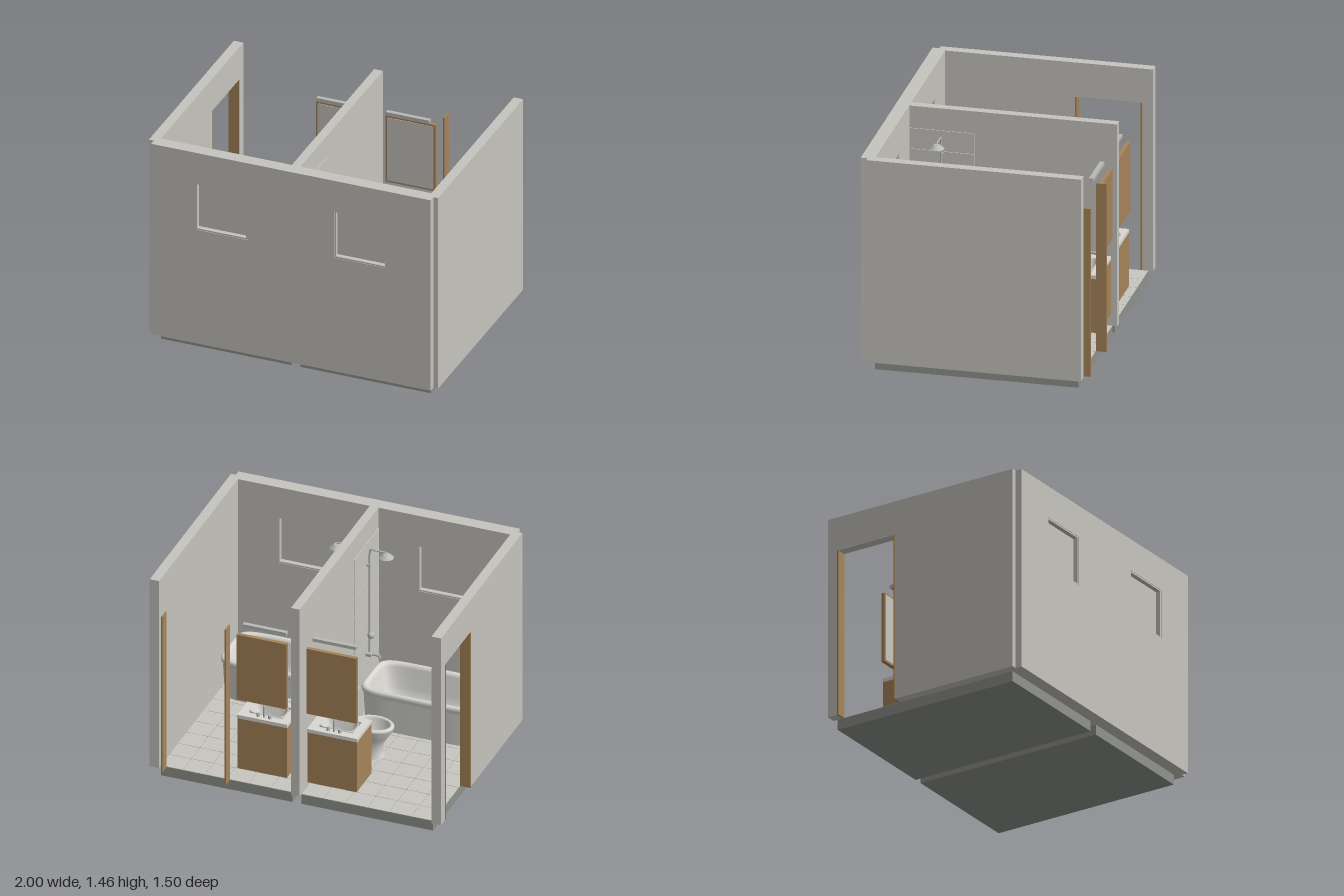
import * as THREE from 'three';

const mat = (name, color, side = THREE.FrontSide) => {
  const m = new THREE.MeshStandardMaterial({ color, side });
  m.name = name;
  return m;
};

export function createModel() {
  const wall = mat('wall plaster', 0xc6c4be);
  const slab = mat('concrete', 0x8f928c);
  const wood = mat('wood', 0xa6845a);
  const ceramic = mat('ceramic', 0xd9d8d3, THREE.DoubleSide);
  const metal = mat('metal', 0xb9b9b5);
  const tile = mat('tile', 0xc8c6c0);

  const root = new THREE.Group();
  root.name = 'twinBathrooms';
  const add = (name, geometry, material, parent = root) => {
    const m = new THREE.Mesh(geometry, material);
    m.name = name;
    parent.add(m);
    return m;
  };

  // Box between two corners
  const box = (name, material, x0, x1, y0, y1, z0, z1, parent = root) => {
    const m = add(name, new THREE.BoxGeometry(Math.abs(x1 - x0), y1 - y0, z1 - z0), material, parent);
    m.position.set((x0 + x1) / 2, (y0 + y1) / 2, (z0 + z1) / 2);
    return m;
  };

  const rod = (name, points, radius, parent, tension = 0) => {
    const curve = new THREE.CatmullRomCurve3(points.map(p => new THREE.Vector3(...p)), false, 'catmullrom', tension);
    return add(name, new THREE.TubeGeometry(curve, 24, radius, 10), metal, parent);
  };

  const disc = (name, material, r0, r1, h, x, y, z, parent) => {
    const m = add(name, new THREE.CylinderGeometry(r0, r1, h, 24), material, parent);
    m.position.set(x, y, z);
    return m;
  };

  // Skin through stacked superellipse rings: [x, y, z, rx, rz, n]
  const loft = (rings, seg = 56) => {
    const pos = [], idx = [];
    const pw = (v, n) => Math.sign(v) * Math.pow(Math.abs(v), 2 / n);
    rings.forEach(([x, y, z, rx, rz, n], i) => {
      for (let j = 0; j < seg; j++) {
        const t = (j / seg) * Math.PI * 2;
        pos.push(x + rx * pw(Math.cos(t), n), y, z + rz * pw(Math.sin(t), n));
        if (i < rings.length - 1) {
          const k = (j + 1) % seg;
          const a = i * seg + j, b = a + seg, c = (i + 1) * seg + k, d = i * seg + k;
          idx.push(a, b, c, a, c, d);
        }
      }
    });
    const g = new THREE.BufferGeometry();
    g.setAttribute('position', new THREE.Float32BufferAttribute(pos, 3));
    g.setIndex(idx);
    g.computeVertexNormals();
    return g;
  };

  const rect = (P, x0, x1, y0, y1) => {
    const p = new P();
    p.moveTo(x0, y0).lineTo(x1, y0).lineTo(x1, y1).lineTo(x0, y1).closePath();
    return p;
  };
  const P = (x0, x1, y0, y1) => [x0, x1, y0, y1];
  // Rectangular plate with rectangular holes, extruded along z
  const plate = (outer, holes, depth) => {
    const s = rect(THREE.Shape, ...outer);
    holes.forEach(h => s.holes.push(rect(THREE.Path, ...h)));
    return new THREE.ExtrudeGeometry(s, { depth, bevelEnabled: false });
  };

  // Front wall with two shallow blind windows
  const windows = [P(-0.66, -0.3, 0.9, 1.24), P(0.3, 0.66, 0.9, 1.24)];
  add('frontWall', plate(P(-0.965, 0.967, 0.07, 1.46), windows, 0.09), wall).position.z = 0.655;
  windows.forEach(([x0, x1, y0, y1]) => {
    const f = 0.01;
    add('windowFrame', plate(P(x0, x1, y0, y1), [P(x0 + f, x1 - f, y0 + f, y1 - f)], 0.084), wall).position.z = 0.658;
    box('windowPane', wall, x0 + f, x1 - f, y0 + f, y1 - f, 0.69, 0.71);
  });

  // Side walls and dividing wall; the right wall has a doorway
  box('leftWall', wall, 0.935, 1, 0.07, 1.46, -0.71, 0.7);
  box('dividingWall', wall, -0.03, 0.03, 0.07, 1.46, -0.71, 0.655);
  box('rightWallFront', wall, -1, -0.935, 0.07, 1.46, -0.2, 0.7);
  box('rightWallBack', wall, -1, -0.935, 0.07, 1.46, -0.71, -0.64);
  box('rightWallLintel', wall, -1, -0.935, 1.225, 1.46, -0.64, -0.2);

  // Door jambs
  [-0.64, -0.21].forEach(z => box('sideDoorJamb', wood, -1.003, -0.932, 0.07, 1.225, z, z + 0.01));
  [0.46, 0.895].forEach(x => box('backDoorJamb', wood, x, x + 0.01, 0.07, 1.225, -0.75, -0.68));

  // One bathroom on each side of the dividing wall
  [-1, 1].forEach(s => {
    const room = new THREE.Group();
    room.name = s < 0 ? 'rightBathroom' : 'leftBathroom';
    root.add(room);

    // Floor slab and tiles
    box('floorSlab', slab, s * 0.03, s * 0.935, 0, 0.07, -0.68, 0.658, room);
    const nx = 6, nz = 9, tx = 0.905 / nx, tz = 1.338 / nz, gap = 0.0015;
    for (let i = 0; i < nx; i++) for (let j = 0; j < nz; j++) {
      const x = 0.03 + i * tx, z = -0.68 + j * tz;
      box('floorTile', tile, s * (x + gap), s * (x + tx - gap), 0.067, 0.073, z + gap, z + tz - gap, room);
    }

    // Tiled splash panel behind the bath
    for (let i = 0; i < 2; i++) for (let j = 0; j < 7; j++) {
      const z = 0.225 + i * 0.215, y = 0.31 + j * 0.143;
      box('wallTile', tile, s * 0.029, s * 0.036, y + 0.002, y + 0.141, z + 0.002, z + 0.213, room);
    }

    // Bathtub
    const bx = s * 0.483, bz = 0.44;
    add('bathtub', loft([
      [bx, 0.072, bz, 0.41, 0.195, 6],
      [bx, 0.3, bz, 0.422, 0.205, 6],
      [bx, 0.325, bz, 0.423, 0.206, 6],
      [bx, 0.328, bz, 0.431, 0.213, 6],
      [bx, 0.345, bz, 0.433, 0.215, 6],
      [bx, 0.358, bz, 0.426, 0.209, 6],
      [bx, 0.36, bz, 0.415, 0.198, 6],
      [bx, 0.356, bz, 0.398, 0.182, 6],
      [bx, 0.335, bz, 0.39, 0.175, 6],
      [bx - s * 0.015, 0.2, bz, 0.35, 0.155, 5],
      [bx - s * 0.025, 0.14, bz, 0.32, 0.137, 4.5],
      [bx - s * 0.03, 0.12, bz, 0.28, 0.11, 4],
      [bx - s * 0.03, 0.115, bz, 0, 0, 4],
    ]), ceramic, room);

    // Shower riser, head, mixer and bath spout
    rod('showerPipe', [[s * 0.055, 0.5, bz], [s * 0.055, 1.27, bz], [s * 0.06, 1.275, bz], [s * 0.17, 1.275, bz]], 0.006, room);
    disc('showerHead', metal, 0.02, 0.048, 0.025, s * 0.17, 1.253, bz, room);
    box('pipeBracket', metal, s * 0.03, s * 0.062, 1.15, 1.165, bz - 0.01, bz + 0.01, room);
    const knob = add('showerMixer', new THREE.SphereGeometry(0.024, 20, 12), metal, room);
    knob.position.set(s * 0.065, 0.64, bz);
    box('mixerBar', metal, s * 0.03, s * 0.075, 0.49, 0.51, bz - 0.025, bz + 0.025, room);
    rod('bathSpout', [[s * 0.03, 0.5, bz], [s * 0.12, 0.5, bz], [s * 0.125, 0.48, bz]], 0.009, room);

    // Toilet: pedestal and bowl in one skin, seat rim, cistern
    const cx = s * 0.275, cz = -0.055;
    add('toiletBowl', loft([
      [s * 0.255, 0.072, cz, 0.095, 0.07, 2.3],
      [s * 0.255, 0.1, cz, 0.088, 0.063, 2.3],
      [s * 0.255, 0.16, cz, 0.085, 0.06, 2.2],
      [s * 0.265, 0.22, cz, 0.11, 0.083, 2.1],
      [cx, 0.27, cz, 0.132, 0.099, 2],
      [cx, 0.285, cz, 0.134, 0.1, 2],
      [cx, 0.288, cz, 0.139, 0.105, 2],
      [cx, 0.3, cz, 0.139, 0.105, 2],
      [cx, 0.308, cz, 0.13, 0.097, 2],
      [cx, 0.308, cz, 0.118, 0.085, 2],
      [cx, 0.3, cz, 0.11, 0.078, 2],
      [cx, 0.27, cz, 0.105, 0.074, 2],
      [cx - s * 0.01, 0.21, cz, 0.07, 0.05, 2],
      [cx - s * 0.015, 0.185, cz, 0.035, 0.025, 2],
      [cx - s * 0.015, 0.18, cz, 0, 0, 2],
    ], 40), ceramic, room);
    box('toiletNeck', ceramic, s * 0.03, s * 0.18, 0.2, 0.284, cz - 0.06, cz + 0.06, room);
    box('cistern', ceramic, s * 0.032, s * 0.13, 0.284, 0.47, cz - 0.103, cz + 0.103, room);
    box('cisternLid', ceramic, s * 0.03, s * 0.137, 0.47, 0.492, cz - 0.11, cz + 0.11, room);
    disc('flushButton', metal, 0.011, 0.011, 0.01, s * 0.084, 0.496, cz, room);

    // Floating vanity cabinet, open beneath the basin
    const vx = s * 0.24, hole = P(vx - 0.122, vx + 0.122, 0.475, 0.625);
    const ring = (name, m, outer, y0, y1) => {
      const g = add(name, plate(outer, [hole], y1 - y0), m, room);
      g.rotation.x = -Math.PI / 2;
      g.position.y = y0;
    };
    box('cabinet', wood, vx - 0.17, vx + 0.17, 0.17, 0.43, -0.68, -0.428, room);
    ring('cabinetTop', wood, P(vx - 0.17, vx + 0.17, 0.428, 0.68), 0.43, 0.54);
    ring('countertop', ceramic, P(vx - 0.172, vx + 0.172, 0.425, 0.68), 0.54, 0.565);
    box('cabinetHandle', metal, vx - 0.078, vx + 0.078, 0.47, 0.482, -0.428, -0.416, room);

    // Basin with drain and tap
    const wz = -0.55;
    add('basin', loft([
      [vx, 0.54, wz, 0.118, 0.07, 4],
      [vx, 0.565, wz, 0.122, 0.075, 4],
      [vx, 0.57, wz, 0.118, 0.071, 4],
      [vx, 0.563, wz, 0.11, 0.064, 4],
      [vx, 0.5, wz, 0.095, 0.054, 3.5],
      [vx, 0.465, wz, 0.07, 0.038, 3],
      [vx, 0.455, wz, 0, 0, 3],
    ], 40), ceramic, room);
    disc('drain', metal, 0.011, 0.011, 0.006, vx, 0.46, wz, room);
    rod('tap', [[vx, 0.56, -0.645], [vx, 0.645, -0.645], [vx, 0.652, -0.638], [vx, 0.652, -0.59], [vx, 0.635, -0.585]], 0.007, room);
    [-0.04, 0.04].forEach(d => disc('tapHandle', metal, 0.01, 0.012, 0.025, vx + d, 0.577, -0.645, room));

    // Mirror on a wooden back, with a light bar above
    box('mirrorBack', wood, vx - 0.172, vx + 0.172, 0.685, 1.167, -0.69, -0.664, room);
    box('mirrorGlass', tile, vx - 0.16, vx + 0.16, 0.697, 1.155, -0.665, -0.661, room);
    box('lightBar', metal, vx - 0.15, vx + 0.15, 1.2, 1.222, -0.642, -0.613, room);
  });

  return root;
}
